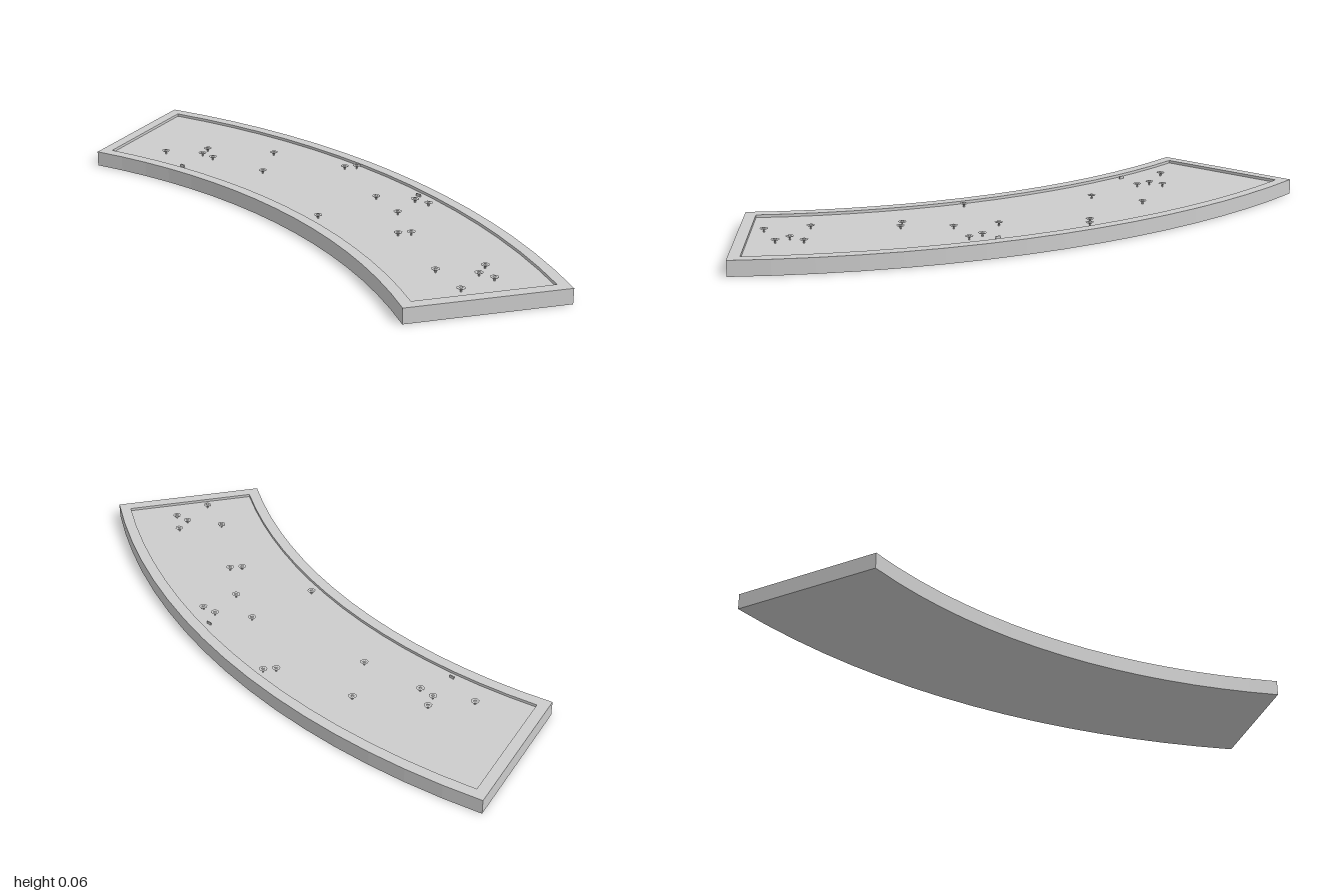
import * as THREE from 'three';

const CX = -2.06, R_IN = 2.132, R_OUT = 2.692;
const SWEEP = THREE.MathUtils.degToRad(48);
const FLOOR_Y = 0.045, TOP_Y = 0.055, RIM = 0.04;

// Ring sector, inset evenly from all four edges; shape y becomes -z
function sector(inset, PathType) {
  const a = R_IN + inset, b = R_OUT - inset;
  const ia = Math.asin(inset / a), ib = Math.asin(inset / b);
  const path = new PathType();
  path.absarc(CX, -1, b, ib, SWEEP - ib, false);
  path.absarc(CX, -1, a, SWEEP - ia, ia, true);
  path.closePath();
  return path;
}

function slab(shape, y, height) {
  const geo = new THREE.ExtrudeGeometry(shape, { depth: height, bevelEnabled: false, curveSegments: 8 });
  geo.rotateX(-Math.PI / 2);
  return geo.translate(0, y, 0);
}

export function createModel() {
  const model = new THREE.Group();
  model.name = 'curvedPath';
  const grey = new THREE.MeshStandardMaterial({ color: 0xcccccc });
  grey.name = 'grey';
  const add = (parent, geo, name) => {
    const mesh = new THREE.Mesh(geo, grey);
    mesh.name = name;
    parent.add(mesh);
    return mesh;
  };

  // Curved base and the raised rim around its floor
  add(model, slab(sector(0, THREE.Shape), 0, FLOOR_Y), 'base');
  const rim = sector(0, THREE.Shape);
  rim.holes.push(sector(RIM, THREE.Path));
  add(model, slab(rim, FLOOR_Y, TOP_Y - FLOOR_Y), 'rim');

  // Tiny flowers: stem, flat petal disc and a raised centre
  const stemGeo = new THREE.CylinderGeometry(0.003, 0.003, 0.013, 6).translate(0, 0.0065, 0);
  const petalGeo = new THREE.CylinderGeometry(0.015, 0.013, 0.002, 8).translate(0, 0.013, 0);
  const centreGeo = new THREE.CylinderGeometry(0.003, 0.006, 0.003, 8).translate(0, 0.0155, 0);
  const spots = [
    [-0.38, -0.525], [-0.25, -0.465], [-0.22, -0.51], [-0.22, -0.415], [-0.07, -0.23],
    [0.015, -0.405], [0.235, -0.195], [0.28, -0.19], [0.26, 0.12], [0.385, 0.18],
    [0.42, 0.225], [0.29, 0.275], [0.015, 0.235], [0.235, 0.45], [0.28, 0.455],
    [0.26, 0.76], [0.425, 0.77], [0.385, 0.82], [0.42, 0.865], [0.29, 0.915],
  ];
  spots.forEach(([x, z], i) => {
    const flower = new THREE.Group();
    flower.name = 'flower' + (i + 1);
    add(flower, stemGeo, 'stem');
    add(flower, petalGeo, 'petals');
    add(flower, centreGeo, 'flowerCentre');
    flower.position.set(x, FLOOR_Y, z);
    model.add(flower);
  });

  // Two small slanted sprigs beside the rim
  const sprigGeo = new THREE.BoxGeometry(0.004, 0.01, 0.018).translate(0, 0.005, 0);
  [[-0.345, -0.37], [0.415, 0.13]].forEach(([x, z]) => {
    const sprig = add(model, sprigGeo, 'sprig');
    sprig.position.set(x, FLOOR_Y, z);
    sprig.rotation.y = 0.6;
  });
  return model;
}
